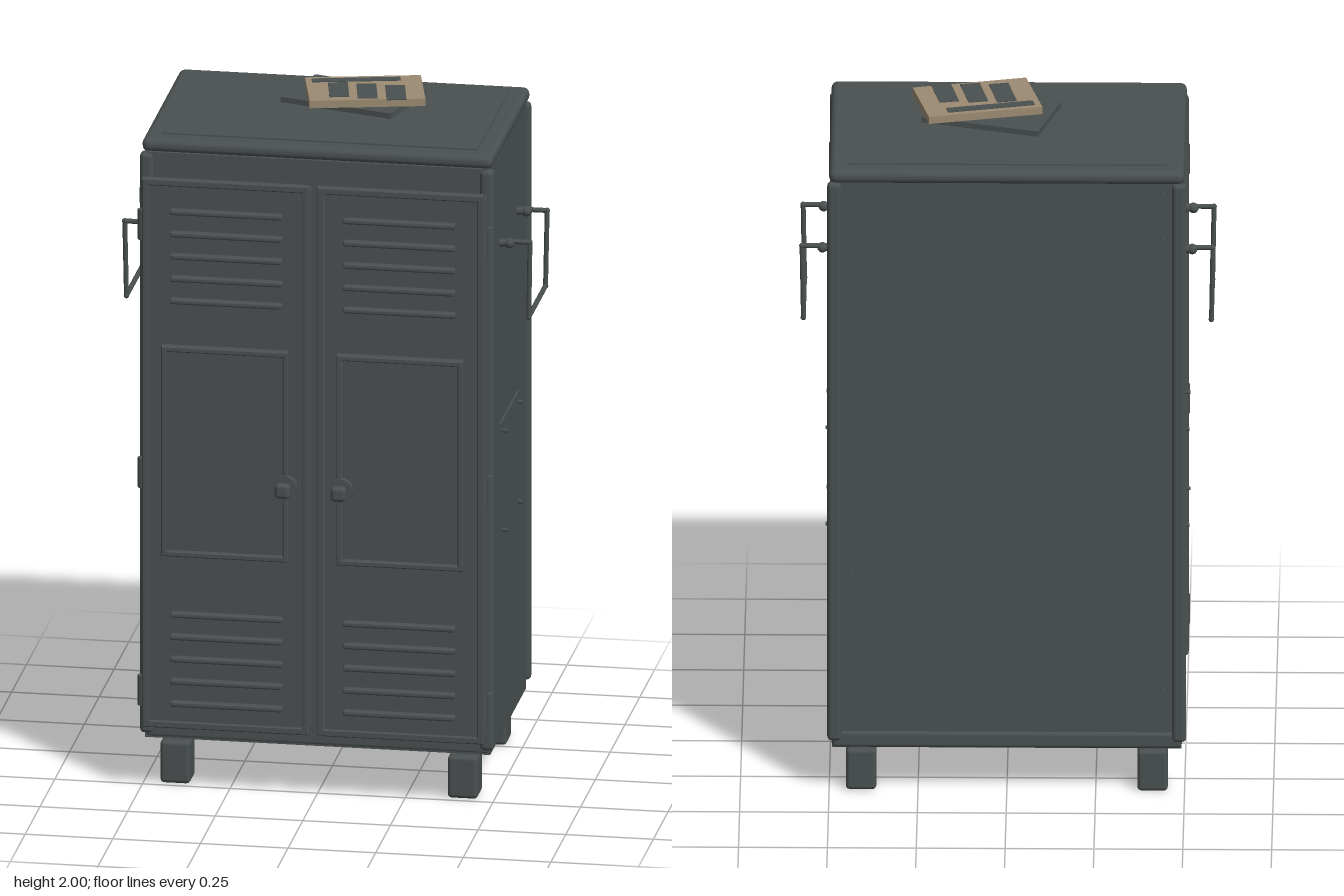
import * as THREE from 'three';
import { RoundedBoxGeometry } from 'three/addons/geometries/RoundedBoxGeometry.js';

export function createModel() {
  const root = new THREE.Group();
  root.name = 'lockerCabinet';
  const steel = new THREE.MeshStandardMaterial({ color: 0x4a5050 });
  steel.name = 'dark grey steel';
  const card = new THREE.MeshStandardMaterial({ color: 0x9c8b72 });
  card.name = 'tan card';

  const add = (name, geo, x, y, z, parent = root, mat = steel) => {
    const m = new THREE.Mesh(geo, mat);
    m.name = name;
    m.position.set(x, y, z);
    parent.add(m);
    return m;
  };
  const box = (w, h, d) => new THREE.BoxGeometry(w, h, d);
  const round = (w, h, d, r) => new RoundedBoxGeometry(w, h, d, 2, r);
  const cyl = (r, h, n = 16) => new THREE.CylinderGeometry(r, r, h, n);

  // Rectangular ring with its back face on z = 0
  const ring = (w, h, t, d) => {
    const rect = (p, a, b) => p.moveTo(-a, -b).lineTo(a, -b).lineTo(a, b).lineTo(-a, b).closePath();
    const s = rect(new THREE.Shape(), w / 2, h / 2);
    s.holes.push(rect(new THREE.Path(), w / 2 - t, h / 2 - t));
    const b = 0.003;
    return new THREE.ExtrudeGeometry(s, {
      depth: d - b, bevelThickness: b, bevelSize: b, bevelOffset: -b, bevelSegments: 1,
    });
  };

  // Carcass, base rail, lid and raised lid panel
  add('carcass', box(0.984, 1.74, 0.61), 0, 1.01, -0.055);
  add('baseRail', round(0.985, 0.05, 0.62, 0.012), 0, 0.165, -0.058);
  add('frontFrame', box(0.97, 1.7, 0.025), 0, 1.03, 0.256);
  add('lid', round(1.0, 0.04, 0.65, 0.018), 0, 1.896, -0.06);
  add('lidPanel', box(0.9, 0.006, 0.547), 0, 1.917, -0.062);

  for (const s of [-1, 1]) {
    // Corner posts
    add('backPost', round(0.04, 1.71, 0.03, 0.012), s * 0.485, 1.02, -0.366);
    add('frontPost', round(0.04, 1.72, 0.036, 0.014), s * 0.485, 1.018, 0.258);

    // Feet
    for (const z of [0.19, -0.3]) add('foot', round(0.086, 0.125, 0.09, 0.012), s * 0.41, 0.0625, z);

    // Side plate with rivets
    add('sidePlate', box(0.008, 0.35, 0.3), s * 0.494, 0.897, -0.055);
    for (const y of [0.75, 1.045]) for (const z of [0.073, -0.187]) {
      add('plateRivet', cyl(0.006, 0.024, 8), s * 0.5, y, z).rotation.z = Math.PI / 2;
    }

    // Drop handle
    const path = new THREE.CurvePath();
    const pts = [[0.49, 1.61, 0.085], [0.578, 1.61, 0.085], [0.574, 1.388, 0.081],
      [0.574, 1.388, -0.201], [0.578, 1.61, -0.205], [0.49, 1.61, -0.205]]
      .map(p => new THREE.Vector3(s * p[0], p[1], p[2]));
    for (let i = 0; i < 5; i++) {
      const a = pts[i], b = pts[i + 1];
      const bar = add('handleBar', cyl(0.007, a.distanceTo(b), 10), 0, 0, 0);
      bar.position.copy(a).lerp(b, 0.5);
      bar.quaternion.setFromUnitVectors(new THREE.Vector3(0, 1, 0), b.clone().sub(a).normalize());
      if (i > 0) add('handleJoint', new THREE.SphereGeometry(0.008, 10, 8), a.x, a.y, a.z);
    }
    for (const z of [0.085, -0.205]) {
      add('handleBoss', new THREE.SphereGeometry(0.015, 12, 8), s * 0.52, 1.605, z);
      add('handleMount', cyl(0.011, 0.03, 12), s * 0.503, 1.605, z).rotation.z = Math.PI / 2;
    }

    // Door: slab, raised rim, framed panel
    const door = new THREE.Group();
    door.name = s > 0 ? 'leftDoor' : 'rightDoor';
    root.add(door);
    add('doorSlab', round(0.482, 1.61, 0.034, 0.012), s * 0.25, 1.008, 0.295, door);
    add('doorPanel', box(0.464, 1.61, 0.014), s * 0.25, 1.008, 0.315, door);
    add('doorRim', ring(0.476, 1.625, 0.02, 0.02), s * 0.25, 1.008, 0.31, door);
    add('windowFrame', ring(0.362, 0.622, 0.016, 0.025), s * 0.25, 1.02, 0.32, door);
    add('windowPanel', box(0.34, 0.6, 0.014), s * 0.25, 1.02, 0.323, door);

    // Louvres above and below the panel
    for (const top of [1.728, 0.535]) for (let i = 0; i < 5; i++) {
      add('louvre', round(0.32, 0.016, 0.024, 0.006), s * 0.247, top - i * 0.066, 0.332, door);
    }

    // Knob with collar
    add('knobCollar', cyl(0.036, 0.02, 24), s * 0.08, 0.93, 0.339, door).rotation.x = Math.PI / 2;
    add('knobStem', cyl(0.013, 0.03), s * 0.08, 0.93, 0.35, door).rotation.x = Math.PI / 2;
    add('knob', round(0.044, 0.044, 0.028, 0.012), s * 0.08, 0.93, 0.37, door);

    // Hinges
    for (const y of [1.67, 0.935, 0.29]) {
      add('hinge', cyl(0.013, 0.088, 12), s * 0.495, y, 0.282, door);
    }

    // Rivets down the back edges
    for (let i = 0; i < 5; i++) {
      add('backRivet', cyl(0.007, 0.012, 8), s * 0.44, 1.7 - i * 0.345, -0.361).rotation.x = Math.PI / 2;
    }
  }

  // Rivets along the top and bottom of the back
  for (const y of [1.84, 0.2]) for (let i = -2; i <= 2; i++) {
    add('backRivet', cyl(0.007, 0.012, 8), i * 0.22, y, -0.361).rotation.x = Math.PI / 2;
  }

  // Dark folder with a tan card resting above the lid
  add('folder', box(0.345, 0.016, 0.224), 0.047, 1.963, -0.067).rotation.y = -0.29;
  const sheet = new THREE.Group();
  sheet.name = 'cardSheet';
  sheet.position.set(0.086, 0, -0.045);
  sheet.rotation.y = 0.23;
  root.add(sheet);
  add('card', box(0.327, 0.022, 0.212), 0, 1.987, 0, sheet, card);
  add('cardBar', box(0.25, 0.003, 0.03), -0.021, 1.9985, -0.074, sheet);
  [[-0.076, 0.014], [0.003, 0.031], [0.083, 0.048]].forEach(([x, z]) => {
    add('cardBlock', box(0.056, 0.003, 0.128), x, 1.9985, z, sheet).rotation.y = -0.03;
  });

  return root;
}
